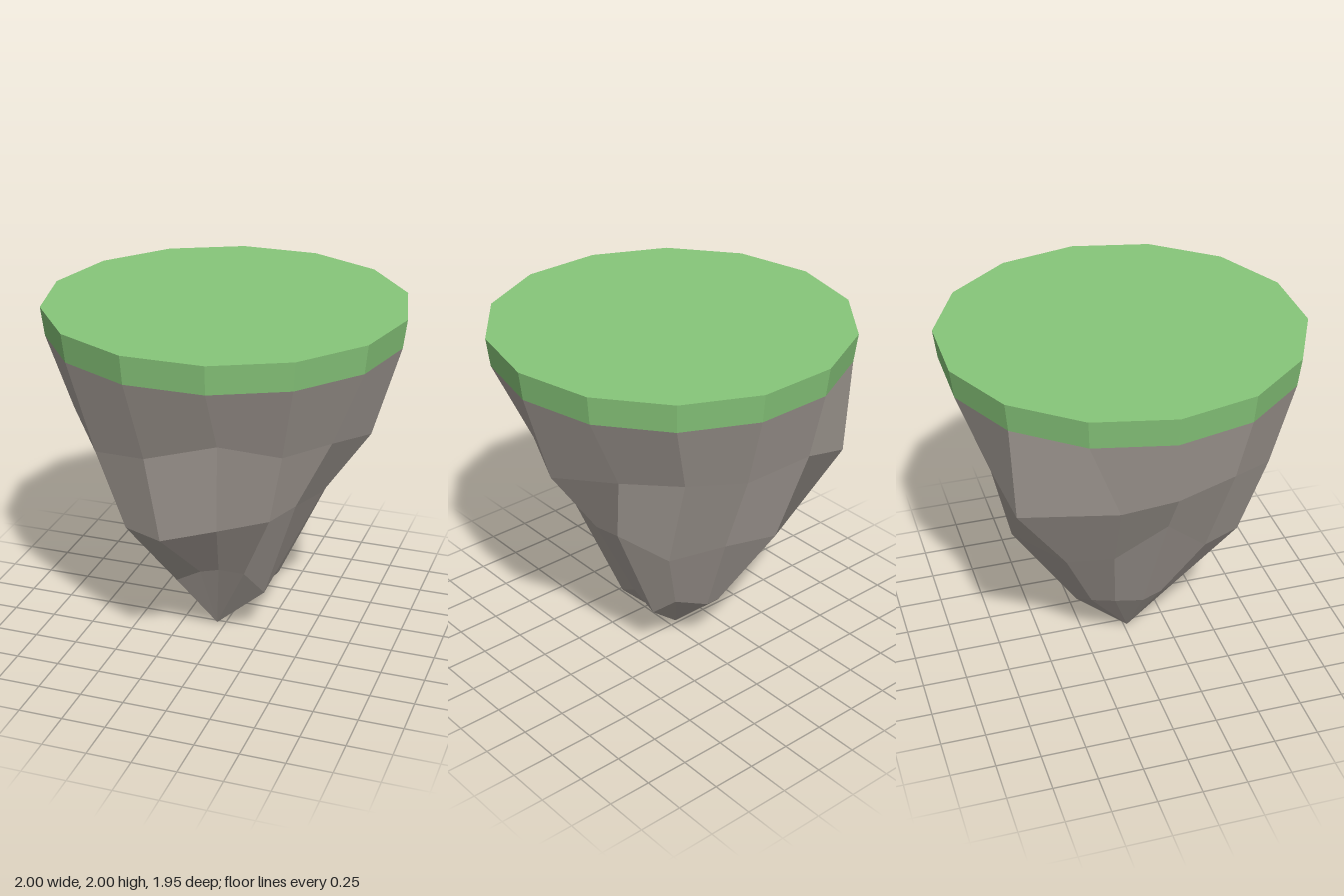
import * as THREE from 'three';

const SIDES = 14;

// Rugged rock cross-sections, each running from +x through the front (+z) and round the back
const UPPER = [
  [0.83, 1.33, 0], [0.70, 1.39, 0.33], [0.50, 1.38, 0.57], [0.21, 1.48, 0.76], [-0.19, 1.36, 0.77],
  [-0.50, 1.32, 0.68], [-0.74, 1.43, 0.40], [-0.86, 1.42, 0.05], [-0.77, 1.33, -0.23], [-0.60, 1.30, -0.74],
  [-0.28, 1.40, -0.80], [0.16, 1.40, -0.80], [0.43, 1.40, -0.62], [0.66, 1.39, -0.36],
];
const MIDDLE = [
  [0.56, 0.93, -0.03], [0.50, 0.98, 0.30], [0.41, 0.96, 0.49], [0.13, 0.88, 0.54], [-0.14, 0.85, 0.69],
  [-0.39, 0.83, 0.56], [-0.53, 0.86, 0.32], [-0.64, 1.11, 0.07], [-0.54, 0.88, -0.20], [-0.39, 0.80, -0.43],
  [-0.17, 0.89, -0.68], [0.07, 0.85, -0.54], [0.37, 0.82, -0.42], [0.58, 0.98, -0.24],
];
const LOWER = [
  [0.28, 0.38, 0], [0.27, 0.31, 0.12], [0.20, 0.50, 0.28], [0.05, 0.50, 0.28], [-0.06, 0.47, 0.28],
  [-0.21, 0.38, 0.26], [-0.29, 0.40, 0.15], [-0.33, 0.39, 0.03], [-0.28, 0.38, -0.12], [-0.21, 0.36, -0.24],
  [-0.10, 0.30, -0.30], [0.01, 0.33, -0.33], [0.18, 0.38, -0.25], [0.27, 0.30, -0.16],
];
const TIP = [-0.05, 0, 0.02];

function regularRing(radius, y) {
  return Array.from({ length: SIDES }, (_, k) => {
    const a = (k / SIDES) * Math.PI * 2;
    return [radius * Math.cos(a), y, radius * Math.sin(a)];
  });
}

// Skin a stack of rings from the top down, with one flat normal for each four-sided facet
function rockGeometry(rings) {
  const positions = [], normals = [];
  const facet = (a, b, c, d) => {
    const across = new THREE.Vector3(...d).sub(new THREE.Vector3(...a));
    const back = new THREE.Vector3(...c).sub(new THREE.Vector3(...b));
    const normal = across.cross(back).normalize().toArray();
    for (const p of [a, b, d, a, d, c]) {
      positions.push(...p);
      normals.push(...normal);
    }
  };
  for (let r = 0; r < rings.length - 1; r++) {
    const top = rings[r], low = rings[r + 1];
    for (let k = 0; k < SIDES; k++) {
      const n = (k + 1) % SIDES;
      facet(top[k], top[n], low[k], low[n]);
    }
  }
  const geometry = new THREE.BufferGeometry();
  geometry.setAttribute('position', new THREE.Float32BufferAttribute(positions, 3));
  geometry.setAttribute('normal', new THREE.Float32BufferAttribute(normals, 3));
  return geometry;
}

export function createModel() {
  const grass = new THREE.MeshStandardMaterial({ color: 0x87c67a, flatShading: true });
  grass.name = 'grass green';
  const stone = new THREE.MeshStandardMaterial({ color: 0xaca49d });
  stone.name = 'warm grey stone';

  const group = new THREE.Group();
  group.name = 'floatingIsland';

  // Grass slab
  const slab = new THREE.Mesh(
    new THREE.CylinderGeometry(1, 0.98, 0.16, SIDES, 1, false, Math.PI / 2), grass);
  slab.name = 'grassTop';
  slab.position.y = 1.92;

  // Tapering rock underside, its last ring drawn together at the tip
  const tipRing = Array(SIDES).fill(TIP);
  const rock = new THREE.Mesh(
    rockGeometry([regularRing(0.98, 1.84), UPPER, MIDDLE, LOWER, tipRing]), stone);
  rock.name = 'rockUnderside';

  group.add(slab, rock);
  return group;
}
